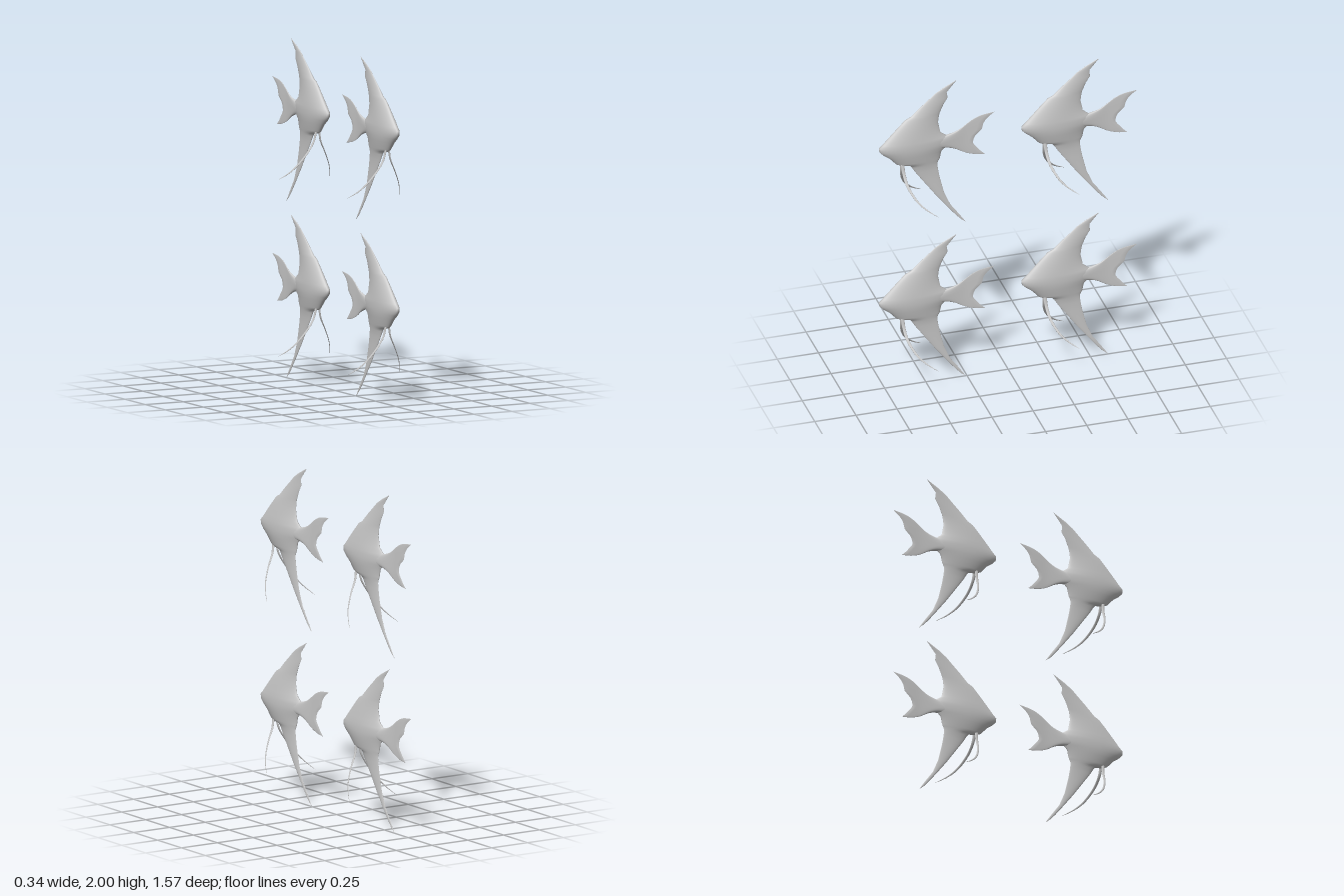
import * as THREE from 'three';

const material = new THREE.MeshStandardMaterial({ color: 0xcccccc, side: THREE.DoubleSide });

// Skin of closed rings: point(row, angle) gives [x, y, z]
function skin(rows, sides, point) {
  const pos = [], index = [];
  for (let r = 0; r < rows; r++) {
    for (let j = 0; j < sides; j++) {
      pos.push(...point(r, (j / sides) * Math.PI * 2));
      if (r === rows - 1) continue;
      const a = r * sides + j, b = r * sides + ((j + 1) % sides);
      index.push(a, b, b + sides, a, b + sides, a + sides);
    }
  }
  const geo = new THREE.BufferGeometry();
  geo.setAttribute('position', new THREE.Float32BufferAttribute(pos, 3));
  geo.setIndex(index);
  geo.computeVertexNormals();
  return geo;
}

const curve = (pts) => new THREE.CatmullRomCurve3(pts.map(([z, y, x = 0]) => new THREE.Vector3(x, y, z)));

// Body with dorsal and anal fins, rows from bottom to top: y, front z, back z, half width
const bodyRows = [
  [0, 0.257, 0.257, 0.001], [0.03, 0.293, 0.277, 0.002], [0.066, 0.325, 0.302, 0.003],
  [0.135, 0.38, 0.352, 0.004], [0.22, 0.446, 0.389, 0.005], [0.325, 0.521, 0.415, 0.006],
  [0.384, 0.563, 0.426, 0.008], [0.42, 0.585, 0.43, 0.013], [0.437, 0.6, 0.426, 0.017],
  [0.445, 0.652, 0.421, 0.02], [0.458, 0.68, 0.415, 0.024], [0.505, 0.722, 0.405, 0.034],
  [0.532, 0.759, 0.375, 0.038], [0.556, 0.782, 0.36, 0.04], [0.58, 0.785, 0.36, 0.04],
  [0.6, 0.763, 0.37, 0.039], [0.632, 0.733, 0.412, 0.036], [0.7, 0.669, 0.426, 0.027],
  [0.743, 0.627, 0.42, 0.021], [0.76, 0.592, 0.416, 0.019], [0.812, 0.537, 0.394, 0.012],
  [0.854, 0.488, 0.368, 0.008], [0.892, 0.445, 0.373, 0.005], [0.923, 0.396, 0.347, 0.004],
  [0.963, 0.315, 0.313, 0.001],
];

function bodyGeometry() {
  return skin(bodyRows.length, 40, (r, a) => {
    const [y, front, back, half] = bodyRows[r];
    const u = (1 - Math.cos(a)) / 2;
    // fullest ahead of the middle, tapering to the rear
    const w = Math.pow(Math.max(0, Math.sin(Math.PI * Math.pow(u, 0.8))), 0.6);
    return [Math.sign(Math.sin(a)) * half * w, y, front + (back - front) * u];
  });
}

// Forked tail: a patch blended between its top, bottom and trailing edges
function tailGeometry() {
  const top = curve([[0.43, 0.6], [0.362, 0.606], [0.299, 0.627], [0.22, 0.68], [0.167, 0.701], [0.082, 0.712]]);
  const bottom = curve([[0.43, 0.525], [0.373, 0.521], [0.325, 0.505], [0.262, 0.468], [0.204, 0.447], [0.14, 0.437]]);
  const trail = curve([[0.082, 0.712], [0.13, 0.675], [0.151, 0.643], [0.161, 0.606], [0.198, 0.574],
    [0.214, 0.526], [0.188, 0.489], [0.167, 0.463], [0.14, 0.437]]);
  const rows = 21;
  const [t0, t1, b0, b1] = [top.getPoint(0), top.getPoint(1), bottom.getPoint(0), bottom.getPoint(1)];
  return skin(rows, 48, (r, a) => {
    const v = r / (rows - 1), u = (1 - Math.cos(a)) / 2;
    const chord = t1.clone().lerp(b1, u);
    const p = top.getPoint(v).lerp(bottom.getPoint(v), u)
      .addScaledVector(trail.getPoint(u).sub(chord), v);
    const half = 0.003 + 0.02 * Math.pow(Math.max(0, (p.z - 0.25) / 0.18), 1.5);
    const edge = Math.pow(Math.abs(Math.sin(a)), 0.6) * (r === rows - 1 ? 0 : 1);
    return [Math.sign(Math.sin(a)) * half * edge, p.y, p.z];
  });
}

// Long curved pelvic fin, a flat tapering ribbon
function pelvicGeometry(side) {
  const path = curve([[0.645, 0.46, 0.01], [0.64, 0.4, 0.022], [0.628, 0.335, 0.055],
    [0.588, 0.255, 0.103], [0.54, 0.205, 0.135], [0.474, 0.161, 0.17]]);
  const rows = 25;
  return skin(rows, 10, (r, a) => {
    const v = r / (rows - 1);
    const p = path.getPoint(v), t = path.getTangent(v);
    const len = Math.hypot(t.y, t.z);
    const width = 0.011 * Math.pow(1 - v, 0.6), thick = 0.004 * (1 - 0.8 * v);
    const c = -Math.cos(a) * width / len;
    return [side * p.x + Math.sin(a) * thick, p.y + t.z * c, p.z - t.y * c];
  });
}

export function createModel() {
  const model = new THREE.Group();
  model.name = 'fishGroup';
  const parts = {
    body: bodyGeometry(),
    tailFin: tailGeometry(),
    leftPelvicFin: pelvicGeometry(1),
    rightPelvicFin: pelvicGeometry(-1),
  };
  // Two by two school
  for (const [row, y] of [['lower', 0], ['upper', 1.037]]) {
    for (const [place, z] of [['Front', 0], ['Back', -0.865]]) {
      const fish = new THREE.Group();
      fish.name = `${row}${place}Fish`;
      fish.position.set(0, y, z);
      for (const [name, geo] of Object.entries(parts)) {
        const mesh = new THREE.Mesh(geo, material);
        mesh.name = name;
        fish.add(mesh);
      }
      model.add(fish);
    }
  }
  return model;
}
